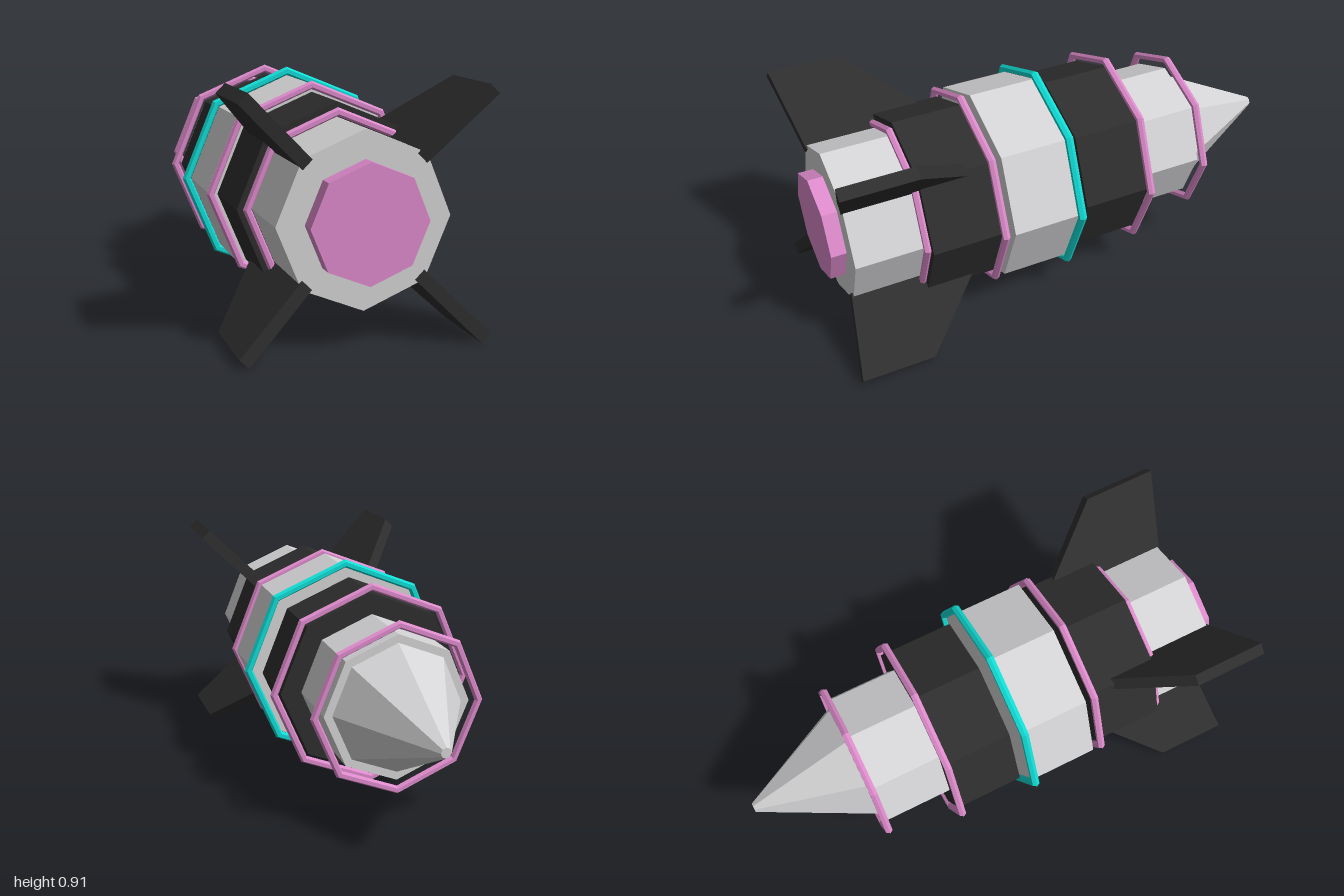
import * as THREE from 'three';

const AXIS_Y = 0.46; // height of the rocket's long axis

export function createModel() {
  const group = new THREE.Group();
  const paint = (name, color) => {
    const m = new THREE.MeshStandardMaterial({ color, flatShading: true });
    m.name = name;
    return m;
  };
  const grey = paint('light grey', 0xd3d3d5);
  const black = paint('charcoal', 0x2d2d2d);
  const pink = paint('pink', 0xdc8aca);
  const teal = paint('teal', 0x10dcd4);

  const add = (name, geometry, material) => {
    const mesh = new THREE.Mesh(geometry, material);
    mesh.name = name;
    mesh.position.y = AXIS_Y;
    group.add(mesh);
    return mesh;
  };

  // Eight-sided hull section along z, from back (z0) to front (z1)
  const section = (name, z0, z1, r0, r1, material) => {
    const g = new THREE.CylinderGeometry(r1, r0, z1 - z0, 8);
    g.rotateX(Math.PI / 2);
    g.translate(0, 0, (z0 + z1) / 2);
    return add(name, g, material);
  };
  section('noseCone', -1, -0.55, 0.02, 0.255, grey);
  section('upperHull', -0.55, -0.25, 0.288, 0.288, grey);
  section('upperBlackHull', -0.265, 0.012, 0.37, 0.37, black);
  section('middleHull', 0.06, 0.335, 0.4, 0.4, grey);
  section('lowerBlackHull', 0.375, 0.655, 0.37, 0.37, black);
  section('engineHull', 0.64, 0.94, 0.315, 0.315, grey);
  section('nozzle', 0.93, 1, 0.213, 0.213, pink);

  // Octagonal hoops around the joints
  const ring = (name, z, outer, tube, material) => {
    const g = new THREE.TorusGeometry(outer - tube, tube, 6, 8);
    g.translate(0, 0, z);
    return add(name, g, material);
  };
  ring('noseRing', -0.555, 0.342, 0.016, pink);
  ring('upperRing', -0.262, 0.412, 0.016, pink);
  ring('middleRing', 0.058, 0.434, 0.017, teal);
  ring('lowerRing', 0.373, 0.412, 0.016, pink);
  ring('engineRing', 0.665, 0.35, 0.016, pink);

  // Four swept fins on the diagonals; profile is (distance from axis, z)
  const profile = [[0.29, 0.46], [0.35, 0.46], [0.62, 0.71], [0.62, 1], [0.29, 0.945]];
  const thickness = 0.048;
  const finGeometry = new THREE.ExtrudeGeometry(
    new THREE.Shape(profile.map(([r, z]) => new THREE.Vector2(r, z))),
    { depth: thickness, bevelEnabled: false }
  );
  finGeometry.translate(0, 0, -thickness / 2);
  finGeometry.rotateX(Math.PI / 2);
  for (let i = 0; i < 4; i++) {
    add('fin' + (i + 1), finGeometry, black).rotation.z = Math.PI / 4 + (i * Math.PI) / 2;
  }

  return group;
}
